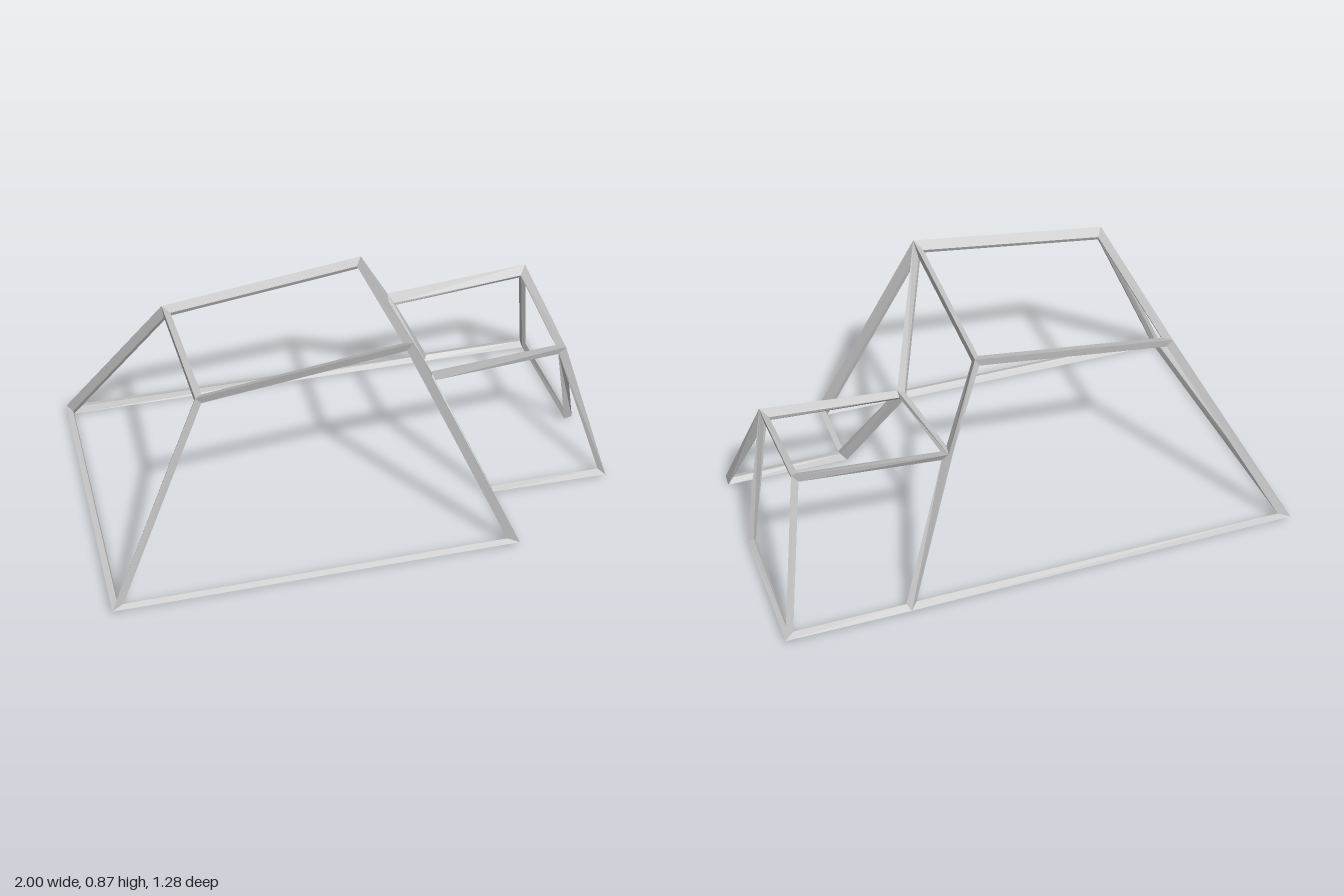
import * as THREE from 'three';

const BAR = 0.018;   // inset of each bar into its panel
const DEPTH = 0.016; // offset of the bar ridge out of and into the shell
const WIDE = 1.4;    // bars are this much broader along z than along x and y

// Corners of the two joined shells (F/B = front/back, L/R = model's -x/+x side)
const corners = {
  topFL: [-0.62, 0.757, 0.437], topFR: [0.145, 0.855, 0.438],
  topBR: [0.145, 0.782, -0.25], topBL: [-0.62, 0.684, -0.248],
  baseFL: [-0.987, 0.017, 0.621], baseFR: [0.52, 0.017, 0.621],
  baseBR: [0.53, 0.017, -0.621], baseBL: [-0.987, 0.017, -0.621],
  porchFL: [0.33, 0.44, 0.085], porchFR: [0.87, 0.48, 0.085],
  porchBR: [0.87, 0.547, -0.387], porchBL: [0.30, 0.497, -0.387],
  stepL: [0.52, 0.017, 0.313], stepR: [0.995, 0.017, 0.313],
  doorBack: [0.985, 0.017, -0.062], porchBase: [0.987, 0.017, -0.621],
};

// Open panels, counter-clockwise from outside; each edge becomes a bar
const panels = {
  mainFrame: [
    ['topFL', 'topFR', 'topBR', 'topBL'],
    ['topFL', 'baseFL', 'baseFR', 'topFR'],
    ['topBL', 'baseBL', 'baseFL', 'topFL'],
    ['topBR', 'porchBL', 'baseBR', 'baseBL', 'topBL'],
    ['topFR', 'baseFR', 'stepL', 'porchFL'],
    ['topFR', 'porchFL', 'porchBL', 'topBR'],
  ],
  porchFrame: [
    ['porchFL', 'porchFR', 'porchBR', 'porchBL'],
    ['porchFL', 'stepL', 'stepR', 'porchFR'],
    ['porchFR', 'doorBack', 'porchBase', 'porchBR'],
    ['porchBR', 'porchBase', 'baseBR', 'porchBL'],
  ],
};

const sub = (a, b) => a.clone().sub(b);
const along = (p, d, s) => p.clone().addScaledVector(d, s);

export function createModel() {
  // Bars are laid out with z divided by WIDE, so their sections broaden along z
  const P = {}, around = {}, edges = new Set();
  for (const k in corners) {
    const [x, y, z] = corners[k];
    P[k] = new THREE.Vector3(x, y, z / WIDE);
    around[k] = [];
  }

  // Panel normals, and corner points inset within each panel
  const prepare = (loop) => {
    const n = loop.length, normal = new THREE.Vector3();
    loop.forEach((k, i) => normal.add(P[k].clone().cross(P[loop[(i + 1) % n]])));
    normal.normalize();
    const inset = loop.map((k, i) => {
      const next = loop[(i + 1) % n];
      const t = sub(P[next], P[k]).normalize();
      const u = sub(P[loop[(i + n - 1) % n]], P[k]).normalize();
      const dir = sub(t, u), sinHalf = dir.length() / 2;
      around[k].push({ normal, angle: t.angleTo(u) });
      edges.add(k + '>' + next);
      return along(P[k], normal.clone().cross(dir.normalize()), BAR / sinHalf);
    });
    return { loop, inset };
  };
  const frames = Object.entries(panels).map(([name, list]) => ({ name, list: list.map(prepare) }));

  // Outer and inner ridge points at every corner
  const outer = {}, inner = {};
  for (const k in P) {
    const n = new THREE.Vector3();
    let sum = 0, total = 0;
    around[k].forEach((f) => n.addScaledVector(f.normal, f.angle));
    n.normalize();
    around[k].forEach((f) => {
      sum += f.angle / Math.max(0.4, n.dot(f.normal));
      total += f.angle;
    });
    outer[k] = along(P[k], n, DEPTH * sum / total);
    inner[k] = along(P[k], n, -DEPTH * sum / total);
  }

  // Bars mitred at the shared corners: four-sided, or three-sided along the open rim
  const group = new THREE.Group();
  const material = new THREE.MeshStandardMaterial({ color: 0xcccccc, flatShading: true });
  for (const { name, list } of frames) {
    const points = [];
    const quad = (a, b, c, d) => points.push(a, b, c, a, c, d);
    for (const { loop, inset } of list) {
      loop.forEach((a, i) => {
        const j = (i + 1) % loop.length, b = loop[j];
        quad(outer[a], outer[b], inset[j], inset[i]);
        quad(inner[b], inner[a], inset[i], inset[j]);
        if (!edges.has(b + '>' + a)) quad(outer[b], outer[a], inner[a], inner[b]);
      });
    }
    const geometry = new THREE.BufferGeometry().setFromPoints(points);
    geometry.scale(1, 1, WIDE);
    geometry.computeVertexNormals();
    const mesh = new THREE.Mesh(geometry, material);
    mesh.name = name;
    group.add(mesh);
  }
  return group;
}
